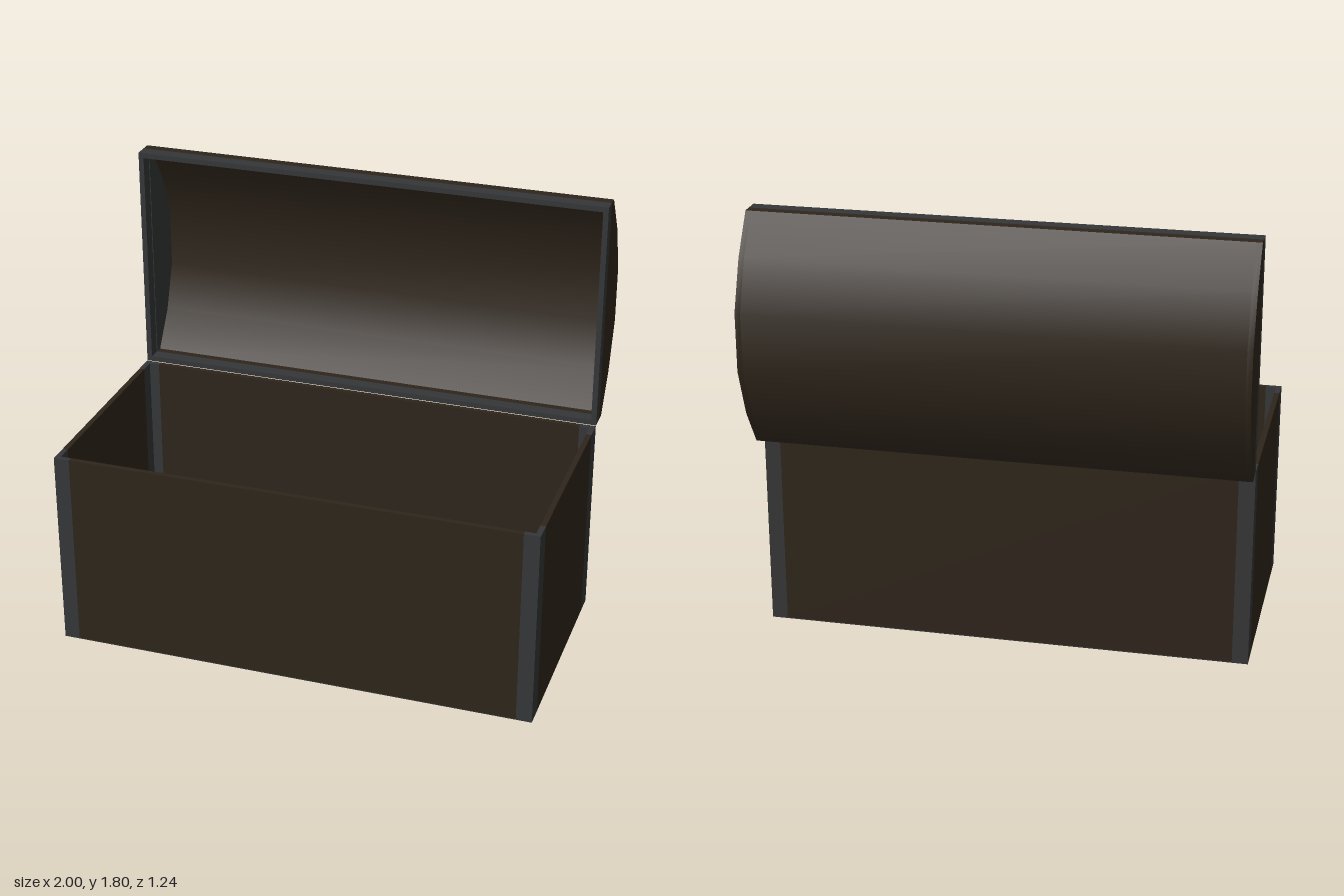
import * as THREE from 'three';
import { toCreasedNormals } from 'three/addons/utils/BufferGeometryUtils.js';

const wood = new THREE.MeshStandardMaterial({ color: 0x2e251b });
const iron = new THREE.MeshStandardMaterial({ color: 0x353637 });

const W = 1, D = 0.48, ZC = 0.14, H = 0.84; // half width, half depth, body centre in z, body height
const T = 0.022;                            // wall thickness
const BX = 0.065, BZ = 0.085;               // widths of the iron bands
const PLATE = 0.004, FLOOR = 0.025;

const polygon = (pts) => new THREE.Shape(pts.map(([x, y]) => new THREE.Vector2(x, y)));
const rect = (x, y) => [[-x, -y], [x, -y], [x, y], [-x, y]];

function frame(ox, oy, ix, iy) {
  const s = polygon(rect(ox, oy));
  s.holes.push(polygon(rect(ix, iy)));
  return s;
}

function add(group, name, geometry, material, x = 0, y = 0, z = 0) {
  const mesh = new THREE.Mesh(geometry, material);
  mesh.name = name;
  mesh.position.set(x, y, z);
  group.add(mesh);
}

// Extrude a plan shape upwards
const upward = (shape, depth) =>
  new THREE.ExtrudeGeometry(shape, { depth, bevelEnabled: false }).rotateX(-Math.PI / 2);

// Extrude a side profile, given as [distance back, height], along x
const sideways = (shape, depth) => toCreasedNormals(
  new THREE.ExtrudeGeometry(shape, { depth, bevelEnabled: false })
    .translate(0, 0, -depth / 2).rotateY(Math.PI / 2), 0.7);

function createBody() {
  const g = new THREE.Group();
  g.name = 'chestBody';
  g.position.z = ZC;
  const h = H - PLATE, y = PLATE + h / 2;

  // Floor: iron border around a wooden panel
  add(g, 'bottomBorder', upward(frame(W, D, W - BX, D - BZ), PLATE), iron);
  add(g, 'floorBorder', upward(frame(W - T, D - T, W - BX, D - BZ), FLOOR - PLATE), iron, 0, PLATE);
  add(g, 'floorPanel', new THREE.BoxGeometry(2 * (W - BX), FLOOR, 2 * (D - BZ)), wood, 0, FLOOR / 2);

  for (const s of [1, -1]) {
    add(g, s > 0 ? 'frontWall' : 'backWall',
      new THREE.BoxGeometry(2 * (W - BX), h, T), wood, 0, y, s * (D - T / 2));
    add(g, s > 0 ? 'leftWall' : 'rightWall',
      new THREE.BoxGeometry(T, h, 2 * (D - BZ)), wood, s * (W - T / 2), y, 0);

    // L-shaped corner bands, flush with the walls
    for (const t of [1, -1]) {
      const corner = [[W, D], [W - BX, D], [W - BX, D - T], [W - T, D - T], [W - T, D - BZ], [W, D - BZ]]
        .map(([a, b]) => [a * s, b * t]);
      add(g, 'cornerBand', upward(polygon(corner), h), iron, 0, PLATE);
    }
  }
  return g;
}

function createLid() {
  const g = new THREE.Group();
  g.name = 'openLid';
  const MID = 1.32, HALF = 0.48, FRONT = 0.345, SEAM = 0.4;

  // Vault profiles are symmetric about the lid's middle height
  const vault = (half) => [...half.map(([b, y]) => [b, MID - y]),
    ...[...half].reverse().map(([b, y]) => [b, MID + y])];
  const outer = vault([[SEAM, HALF], [0.44, HALF], [0.545, 0.32], [0.62, 0.12]]);
  const inner = vault([[SEAM, HALF - T], [0.43, HALF - T], [0.53, 0.308], [0.599, 0.115]]);

  // Curved wooden shell
  add(g, 'lidVault', sideways(polygon([...outer, ...[...inner].reverse()]), 2 * (W - T)), wood);

  // Wooden ends with an iron lining inside
  for (const s of [1, -1]) {
    add(g, 'lidEnd', sideways(polygon(outer), T), wood, s * (W - T / 2));
    add(g, 'lidEndLining', sideways(polygon(inner), 0.003), iron, s * (W - T - 0.0015));
  }

  // Iron band around the opening
  const rim = new THREE.ExtrudeGeometry(frame(W, HALF, W - T, HALF - T),
    { depth: SEAM - FRONT, bevelEnabled: false });
  add(g, 'lidRim', rim, iron, 0, MID, -SEAM);
  return g;
}

export function createModel() {
  const model = new THREE.Group();
  model.name = 'chest';
  model.add(createBody(), createLid());
  return model;
}
